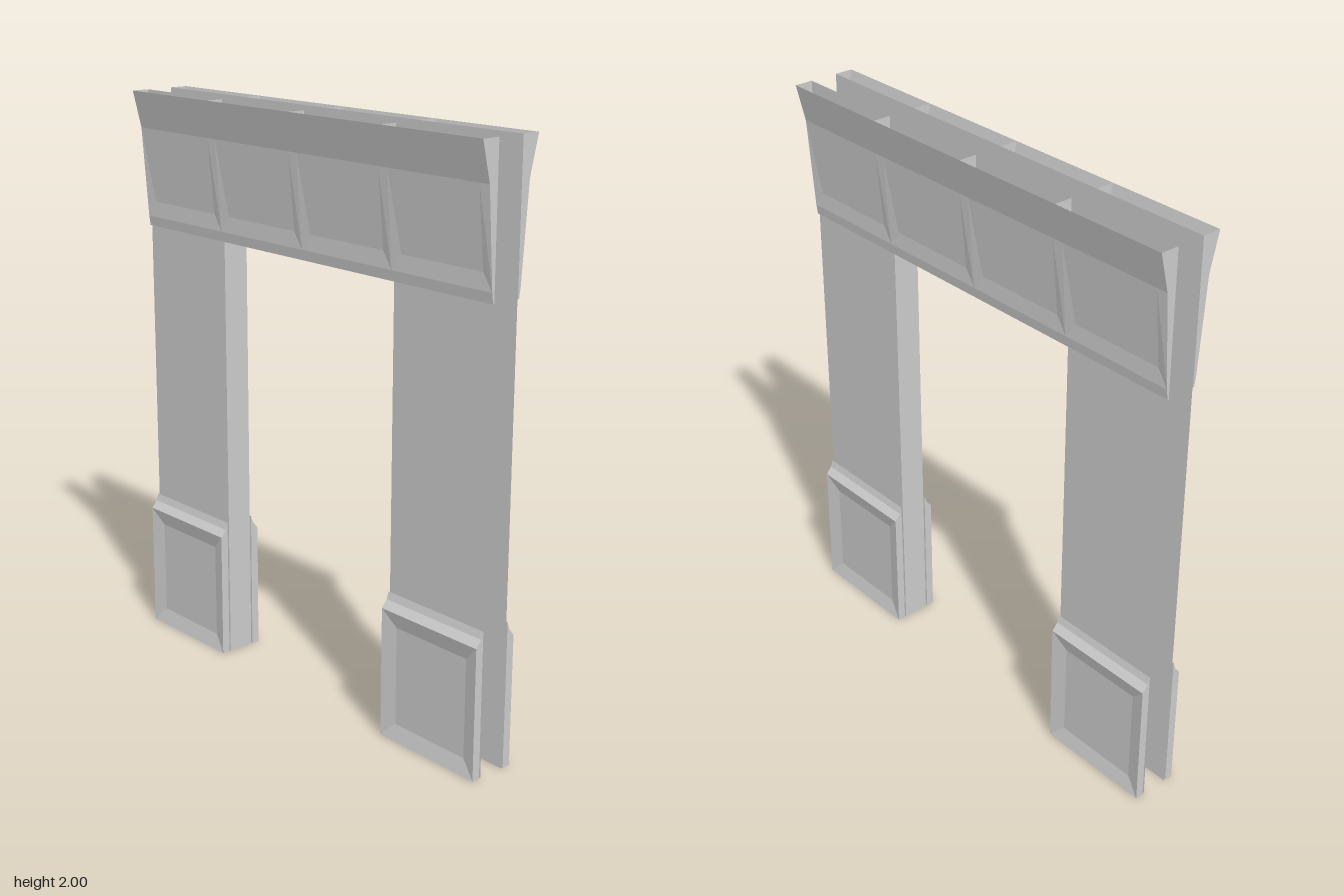
import * as THREE from 'three';

const H = 0.84;      // half length of the gateway
const OPEN = 0.42;   // half width of the opening
const WALL = 0.048;  // half thickness between the wall sheets
const SOFFIT = 1.585;

const material = new THREE.MeshStandardMaterial({ color: 0xcccccc, side: THREE.DoubleSide, flatShading: true });

// Mesh from flat four-cornered faces, corners counter-clockwise from outside
function quadMesh(name, quads) {
  const pos = [];
  for (const [a, b, c, d] of quads) pos.push(...a, ...b, ...c, ...a, ...c, ...d);
  const g = new THREE.BufferGeometry();
  g.setAttribute('position', new THREE.Float32BufferAttribute(pos, 3));
  g.computeVertexNormals();
  const mesh = new THREE.Mesh(g, material);
  mesh.name = name;
  return mesh;
}

// Upright strip facing +x, from (x0, y0) up to (x1, y1), running z0 to z1
const strip = (x0, y0, x1, y1, z0, z1) => [[x0, y0, z1], [x0, y0, z0], [x1, y1, z0], [x1, y1, z1]];

// Four sloped faces joining an outer ring of corners to an inner one
const bevels = (o, i) => o.map((p, k) => [p, o[(k + 1) % 4], i[(k + 1) % 4], i[k]]);

// End face at a given z: slabs between the back plane and the profile
function endCap(back, profile, z, facing) {
  const quads = [];
  for (let k = 0; k < profile.length - 1; k++) {
    const [x0, y0] = profile[k], [x1, y1] = profile[k + 1];
    const q = [[back, y0, z], [x0, y0, z], [x1, y1, z], [back, y1, z]];
    quads.push(facing > 0 ? q : q.reverse());
  }
  return quads;
}

// Plinth with a sunken panel and a sloped cap
function plinth(z0, z1) {
  const back = 0.054, face = 0.083, floor = 0.069, b = 0.055;
  const profile = [[face, 0], [face, 0.45], [0.062, 0.475], [back, 0.5]];
  const outer = strip(face, 0, face, 0.45, z0, z1);
  const inner = strip(floor, b, floor, 0.395, z0 + b, z1 - b);
  const quads = [
    ...bevels(outer, inner), inner,
    strip(face, 0.45, 0.062, 0.475, z0, z1),
    strip(0.062, 0.475, back, 0.5, z0, z1),
    strip(back, 0, face, 0, z0, z1),
    strip(back, 0.5, back, 0, z0, z1),
    ...endCap(back, profile, z1, 1), ...endCap(back, profile, z0, -1),
  ];
  return quadMesh('plinth', quads);
}

// Flared cornice, open on top, with four sunken bays and ribs inside
function cornice() {
  const back = 0.05, bays = 4, w = 2 * H / bays, b = 0.04;
  const profile = [[0.055, 1.52], [0.06, 1.555], [0.083, 1.87], [0.115, 2]];
  const quads = [
    strip(back, 1.52, 0.055, 1.52, -H, H),
    strip(0.055, 1.52, 0.06, 1.555, -H, H),
    strip(0.083, 1.87, 0.115, 2, -H, H),
    strip(back, 2, back, 1.52, -H, H),
    ...endCap(back, profile, H, 1), ...endCap(back, profile, -H, -1),
  ];
  const ribs = [];
  for (let k = 0; k < bays; k++) {
    const z0 = -H + k * w, z1 = z0 + w;
    const outer = strip(0.06, 1.555, 0.083, 1.87, z0, z1);
    const inner = strip(0.058, 1.61, 0.083, 1.87, z0 + b, z1 - b);
    quads.push(...bevels(outer, inner), inner);
    if (k > 0) ribs.push(...endCap(back, profile, z0, 1));
  }
  const group = new THREE.Group();
  group.name = 'cornice';
  group.add(quadMesh('corniceShell', quads), quadMesh('corniceRibs', ribs));
  return group;
}

// Everything on one face of the gateway
function side(name) {
  const group = new THREE.Group();
  group.name = name;
  for (const [z0, z1] of [[-H, -OPEN], [OPEN, H]]) {
    group.add(quadMesh('legWall', [strip(WALL, 0, WALL, SOFFIT, z0, z1)]));
    group.add(plinth(z0, z1));
  }
  group.add(cornice());
  return group;
}

export function createModel() {
  const model = new THREE.Group();
  model.name = 'gateway';
  const left = side('leftSide'), right = side('rightSide');
  right.rotation.y = Math.PI;
  model.add(left, right);

  // Inner faces of the opening
  const W = WALL;
  model.add(quadMesh('frontJamb', [[[W, 0, OPEN], [-W, 0, OPEN], [-W, SOFFIT, OPEN], [W, SOFFIT, OPEN]]]));
  model.add(quadMesh('backJamb', [[[-W, 0, -OPEN], [W, 0, -OPEN], [W, SOFFIT, -OPEN], [-W, SOFFIT, -OPEN]]]));
  model.add(quadMesh('soffit', [[[-W, SOFFIT, -OPEN], [W, SOFFIT, -OPEN], [W, SOFFIT, OPEN], [-W, SOFFIT, OPEN]]]));
  return model;
}
